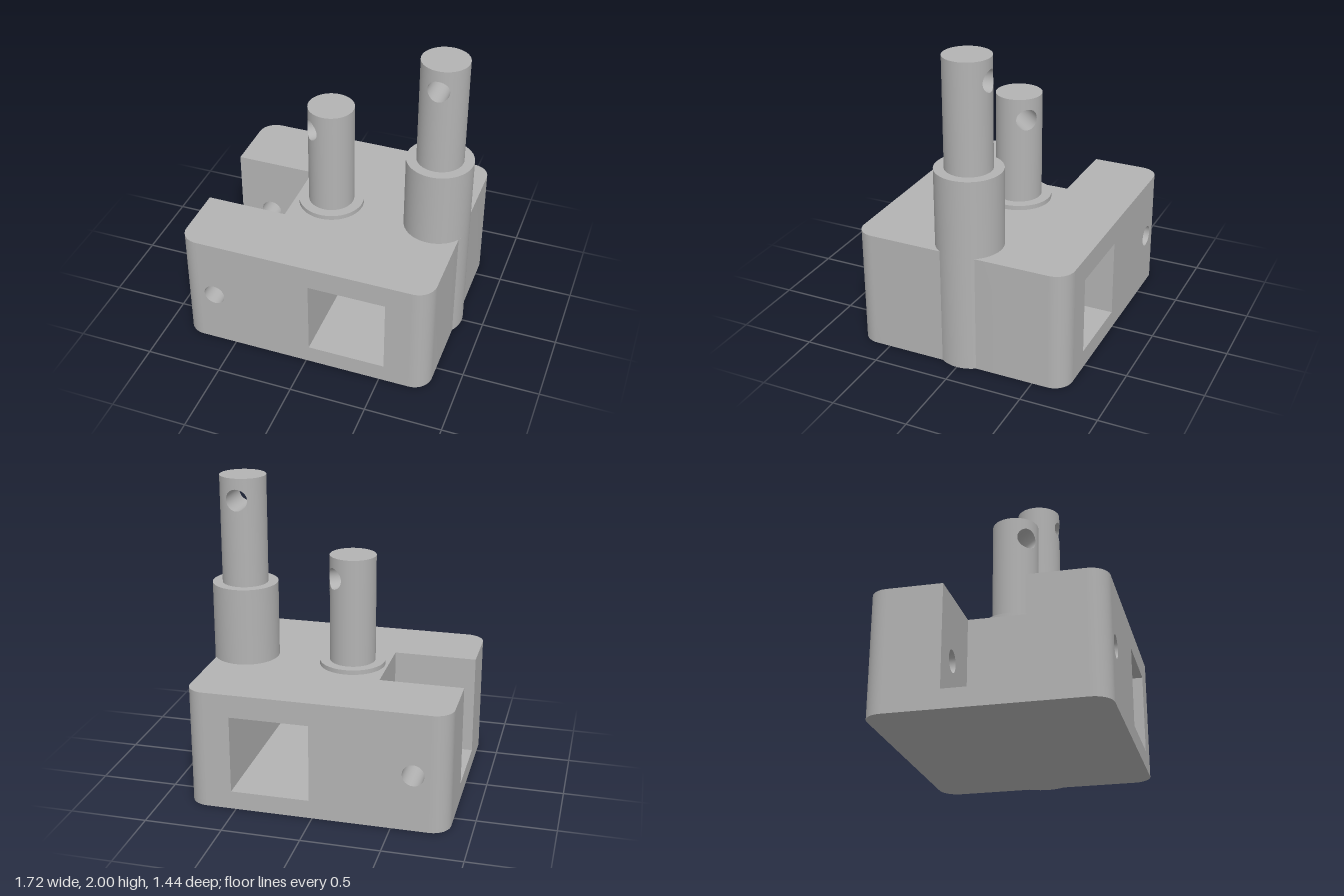
import * as THREE from 'three';
import { toCreasedNormals } from 'three/addons/utils/BufferGeometryUtils.js';
import { ParametricGeometry } from 'three/addons/geometries/ParametricGeometry.js';

const metal = new THREE.MeshStandardMaterial({ color: 0xb3b3b3, side: THREE.DoubleSide });
metal.name = 'machined grey';

const X0 = -0.86, X1 = 0.82, Z = 0.72, H = 0.78, C = 0.12; // block extents and corner radius
const SLOT_X = -0.32, SLOT_Z = 0.25, FLOOR = 0.12;
const PIN = { x: -0.635, y: 0.375, r: 0.07 };
const WIN = [[0.02, 0.12], [0.53, 0.12], [0.53, 0.63], [0.02, 0.63]];
const SHAFT_R = 0.15, COLLAR_R = 0.215, HOLE_R = 0.07, HALF = 0.14;
const BOSS_X = 0.64, POST_X = -0.085;

function add(parent, name, geometry) {
  const mesh = new THREE.Mesh(geometry, metal);
  mesh.name = name;
  parent.add(mesh);
  return mesh;
}

const shapeOf = (pts) => new THREE.Shape(pts.map(([a, b]) => new THREE.Vector2(a, b)));
const face = (shape) => new THREE.ShapeGeometry(shape, 32);

function arc(cx, cz, r, a0, a1, n) {
  return Array.from({ length: n + 1 }, (_, i) => {
    const a = a0 + (a1 - a0) * i / n;
    return [cx + r * Math.cos(a), cz + r * Math.sin(a)];
  });
}

// Upright wall following a path of [x, z] points
function wall(pts, y0, y1) {
  const g = new THREE.PlaneGeometry(1, 1, pts.length - 1, 1);
  const p = g.attributes.position, n = pts.length;
  for (let i = 0; i < p.count; i++) p.setXYZ(i, pts[i % n][0], i < n ? y1 : y0, pts[i % n][1]);
  return toCreasedNormals(g, 0.5);
}

function addPinHole(shape) {
  shape.holes.push(new THREE.Path().absarc(PIN.x, PIN.y, PIN.r, 0, Math.PI * 2, true));
  return shape;
}

function buildBlock() {
  const block = new THREE.Group();
  block.name = 'block';
  const q = Math.PI / 2, cz = Z - C;
  const bulge = Math.acos((X1 - BOSS_X) / COLLAR_R);
  const right = [
    ...arc(X1 - C, -cz, C, -q, 0, 12),
    ...arc(BOSS_X, 0, COLLAR_R, -bulge, bulge, 20),
    ...arc(X1 - C, cz, C, 0, q, 12)];
  const leftA = arc(X0 + C, cz, C, q, 2 * q, 12);
  const leftB = arc(X0 + C, -cz, C, 2 * q, 3 * q, 12);
  const slot = [[X0, SLOT_Z], [SLOT_X, SLOT_Z], [SLOT_X, -SLOT_Z], [X0, -SLOT_Z]];

  // Horizontal faces
  add(block, 'blockBottom', face(shapeOf([...right, ...leftA, ...leftB])).rotateX(q));
  add(block, 'blockTop', face(shapeOf([...right, ...leftA, ...slot, ...leftB])).rotateX(-q)).position.y = H;
  add(block, 'slotFloor', face(shapeOf(slot)).rotateX(-q)).position.y = FLOOR;

  // Rounded corners and the side that swells around the boss
  add(block, 'bossSide', wall(right, 0, H));
  add(block, 'frontCorner', wall(leftA, 0, H));
  add(block, 'backCorner', wall(leftB, 0, H));
  add(block, 'slotEnd', wall([slot[1], slot[2]], FLOOR, H));
  add(block, 'slottedSide', face(shapeOf([
    [-cz, 0], [cz, 0], [cz, H], [SLOT_Z, H], [SLOT_Z, FLOOR],
    [-SLOT_Z, FLOOR], [-SLOT_Z, H], [-cz, H]])).rotateY(-q)).position.x = X0;

  // Front and back faces, slot cheeks and cross-pin bores
  for (const [s, label] of [[1, 'front'], [-1, 'back']]) {
    const outer = addPinHole(shapeOf([[X0 + C, 0], [X1 - C, 0], [X1 - C, H], [X0 + C, H]]));
    outer.holes.push(shapeOf(WIN));
    add(block, label + 'Face', face(outer)).position.z = s * Z;
    const cheek = addPinHole(shapeOf([[X0, FLOOR], [SLOT_X, FLOOR], [SLOT_X, H], [X0, H]]));
    add(block, label + 'SlotCheek', face(cheek)).position.z = s * SLOT_Z;
    const bore = new THREE.CylinderGeometry(PIN.r, PIN.r, Z - SLOT_Z, 64, 1, true).rotateX(q);
    add(block, label + 'PinBore', bore).position.set(PIN.x, PIN.y, s * (Z + SLOT_Z) / 2);
  }

  // Square window running through the block
  const tunnel = wall([...WIN, WIN[0]].map(([x, y]) => [x, -y]), -Z, Z).rotateX(q);
  add(block, 'windowTunnel', tunnel);
  return block;
}

// Shaft from y0 to y1 with a cross hole near the top, drilled along local z
function buildShaft(name, y0, y1) {
  const shaft = new THREE.Group();
  shaft.name = name;
  const cy = y1 - HALF, low = cy - HALF;
  const stem = new THREE.CylinderGeometry(SHAFT_R, SHAFT_R, low - y0, 64, 1, true);
  add(shaft, name + 'Stem', stem).position.y = (y0 + low) / 2;
  add(shaft, name + 'Top', new THREE.CircleGeometry(SHAFT_R, 64).rotateX(-Math.PI / 2)).position.y = y1;

  // Half of the skin, spread from the hole rim to a square patch
  for (const s of [1, -1]) {
    const skin = new ParametricGeometry((u, v, out) => {
      const k = u * 4, side = Math.min(3, Math.floor(k)), f = (k - side) * 2 - 1;
      const a = Math.PI * 2 * u - Math.PI / 4;
      const [sx, sy] = [[1, f], [-f, 1], [-1, -f], [f, -1]][side];
      const rim = Math.asin(HOLE_R * Math.cos(a) / SHAFT_R);
      const th = rim + (sx * Math.PI / 2 - rim) * v;
      const dy = HOLE_R * Math.sin(a) * (1 - v) + sy * HALF * v;
      out.set(s * SHAFT_R * Math.sin(th), cy + dy, s * SHAFT_R * Math.cos(th));
    }, 128, 12);
    add(shaft, name + 'PiercedSkin', skin);
  }

  // Bore with ends that follow the round skin
  add(shaft, name + 'Bore', new ParametricGeometry((u, v, out) => {
    const a = Math.PI * 2 * u, x = HOLE_R * Math.cos(a);
    out.set(x, cy + HOLE_R * Math.sin(a), (1 - 2 * v) * Math.sqrt(SHAFT_R ** 2 - x * x));
  }, 128, 2));
  return shaft;
}

function addCollar(parent, name, x, y0, y1) {
  const g = new THREE.CylinderGeometry(COLLAR_R, COLLAR_R, y1 - y0, 64);
  add(parent, name, g).position.set(x, (y0 + y1) / 2, 0);
}

export function createModel() {
  const model = new THREE.Group();
  model.name = 'pinBlock';
  model.add(buildBlock());

  // Tall shaft on its boss, drilled front to back
  addCollar(model, 'boss', BOSS_X, H, 1.29);
  const tall = buildShaft('tallShaft', 1.29, 2);
  tall.position.x = BOSS_X;
  model.add(tall);

  // Short shaft on a thin flange, drilled diagonally
  addCollar(model, 'flange', POST_X, H, 0.81);
  const short = buildShaft('shortShaft', 0.81, 1.52);
  short.position.x = POST_X;
  short.rotation.y = -Math.PI / 4;
  model.add(short);
  return model;
}
